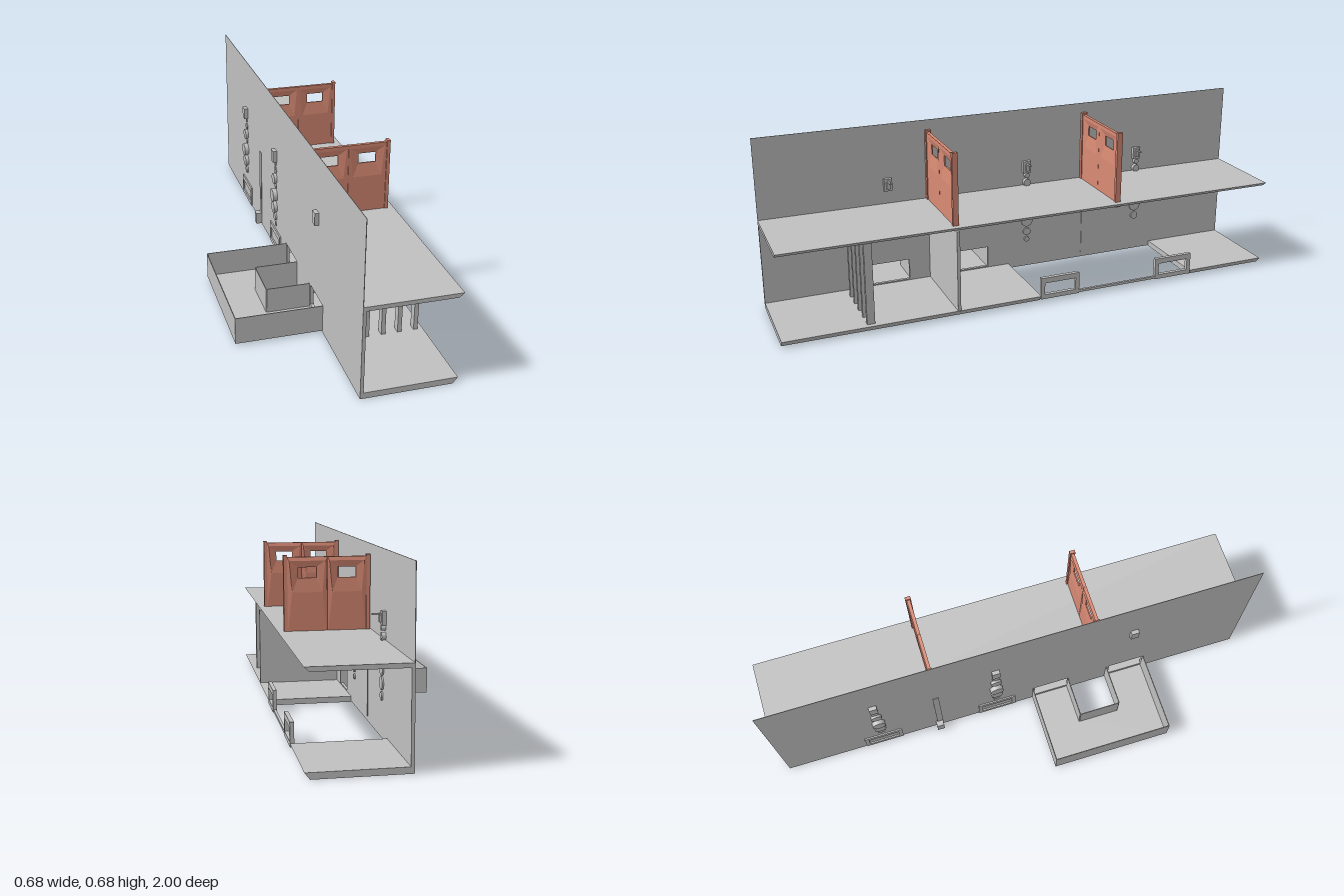
import * as THREE from 'three';

const grey = new THREE.MeshStandardMaterial({ color: 0xc0c0c0 });
grey.name = 'concreteGrey';
const red = new THREE.MeshStandardMaterial({ color: 0xd88a74 });
red.name = 'doorRed';

function add(parent, name, geometry, material = grey) {
  const mesh = new THREE.Mesh(geometry, material);
  mesh.name = name;
  parent.add(mesh);
  return mesh;
}

// Box given by its limits on each axis
function box(parent, name, [x0, x1], [y0, y1], [z0, z1], material) {
  const g = new THREE.BoxGeometry(x1 - x0, y1 - y0, z1 - z0);
  g.translate((x0 + x1) / 2, (y0 + y1) / 2, (z0 + z1) / 2);
  return add(parent, name, g, material);
}

const shapeOf = (pts) => new THREE.Shape(pts.map(([a, b]) => new THREE.Vector2(a, b)));
const rect = (a0, a1, b0, b1) => [[a0, b0], [a1, b0], [a1, b1], [a0, b1]];

// Plate lying in the z-y plane between x0 and x1, with rectangular holes
function sidePlate(parent, name, x0, x1, outline, holes) {
  const s = shapeOf(outline);
  holes.forEach((h) => s.holes.push(shapeOf(h)));
  const g = new THREE.ExtrudeGeometry(s, { depth: x1 - x0, bevelEnabled: false });
  g.rotateY(-Math.PI / 2).translate(x1, 0, 0);
  return add(parent, name, g);
}

// Floor slab with an undercut outer edge
function slab(parent, name, yTop, yBottom, z0, z1) {
  const s = shapeOf([[-0.012, yBottom], [0.322, yBottom], [0.34, yTop], [-0.012, yTop]]);
  const g = new THREE.ExtrudeGeometry(s, { depth: z1 - z0, bevelEnabled: false });
  add(parent, name, g.translate(0, 0, z0));
}

// Door leaf: closed loft of rectangular rings around a recessed window
function doorLeaf(x0, x1, y0) {
  const w = x1 - x0, c = (x0 + x1) / 2;
  const outer = rect(x0, x1, y0, 0.63);
  const bevel = [[c - w * 0.38, 0.5], [c + w * 0.38, 0.5], [c + w * 0.45, 0.616], [c - w * 0.45, 0.616]];
  const hole = rect(c - 0.034, c + 0.034, 0.553, 0.592);
  const rings = [[outer, 0.007], [bevel, 0.007], [hole, 0], [hole, -0.005], [bevel, -0.01], [outer, -0.006]];
  const pos = [];
  rings.forEach(([a, za], r) => {
    const [b, zb] = rings[(r + 1) % rings.length];
    for (let i = 0; i < 4; i++) {
      const j = (i + 1) % 4;
      const p = [...a[i], za], q = [...a[j], za], s = [...b[j], zb], t = [...b[i], zb];
      pos.push(...p, ...q, ...s, ...p, ...s, ...t);
    }
  });
  const g = new THREE.BufferGeometry();
  g.setAttribute('position', new THREE.Float32BufferAttribute(pos, 3));
  g.computeVertexNormals();
  return g;
}

function doubleDoor(z, y0) {
  const door = new THREE.Group();
  door.name = 'doubleDoor';
  add(door, 'leftLeaf', doorLeaf(0.008, 0.1535, y0), red);
  add(door, 'rightLeaf', doorLeaf(0.1545, 0.303, y0), red);
  box(door, 'wallJamb', [-0.006, 0.008], [y0, 0.637], [-0.011, 0.011], red);
  box(door, 'outerJamb', [0.303, 0.316], [y0, 0.637], [-0.011, 0.011], red);
  door.position.z = z;
  return door;
}

// Switch box through the wall with a lever on the inside
function switchBox(z) {
  const g = new THREE.Group();
  g.name = 'switchBox';
  box(g, 'housing', [-0.028, 0.005], [0.411, 0.46], [-0.016, 0.016]);
  box(g, 'leverMount', [0.005, 0.013], [0.421, 0.447], [-0.008, 0.008]);
  box(g, 'lever', [0.003, 0.039], [0.447, 0.453], [-0.003, 0.003]);
  g.position.z = z;
  return g;
}

export function createModel() {
  const model = new THREE.Group();
  model.name = 'corridorBuilding';

  // Long wall: lower part with two crawl openings, thin upper part
  sidePlate(model, 'lowerWall', -0.012, 0, rect(-1, 1, 0.003, 0.357),
    [rect(0.09, 0.24, 0.028, 0.112), rect(0.425, 0.576, 0.028, 0.112)]);
  box(model, 'upperWall', [-0.012, -0.01], [0.357, 0.675], [-1, 1]);

  // Floors: the lower one is open between z = -0.66 and 0
  slab(model, 'upperFloor', 0.357, 0.341, -1, 1);
  slab(model, 'lowerFloorFront', 0.023, 0, 0, 1);
  slab(model, 'lowerFloorBack', 0.023, 0, -1, -0.66);
  box(model, 'gapRail', [0.328, 0.338], [0.012, 0.022], [-0.66, 0]);

  // Partition and barred cell front
  box(model, 'partition', [0, 0.338], [0.02, 0.342], [0.328, 0.34]);
  for (let i = 0; i < 5; i++) {
    const x = 0.061 + i * 0.0628;
    box(model, 'cellBar', [x - 0.008, x + 0.008], [0.02, 0.342], [0.655, 0.685]);
  }
  box(model, 'cellTopRail', [0, 0.322], [0.331, 0.342], [0.655, 0.685]);

  // Doors on the upper floor
  model.add(doubleDoor(0.335, 0.345), doubleDoor(-0.331, 0.336));

  // Rectangular frames on both sides of the gap ends
  for (const z of [-0.08, -0.58]) {
    for (const [x0, x1] of [[0.325, 0.34], [-0.018, -0.012]]) {
      sidePlate(model, 'openingFrame', x0, x1, rect(z - 0.081, z + 0.081, 0.01, 0.098),
        [rect(z - 0.065, z + 0.065, 0.028, 0.076)]);
    }
  }

  // Chains of discs set through the wall: height, radius, depth
  const discs = [[0.4, 0.01, 0.016], [0.37, 0.015, 0.016], [0.333, 0.022, 0.024], [0.298, 0.013, 0.014],
    [0.258, 0.027, 0.03], [0.203, 0.024, 0.026], [0.157, 0.016, 0.019], [0.123, 0.011, 0.014]];
  for (const [z, count] of [[-0.08, 8], [-0.58, 7]]) {
    discs.slice(0, count).forEach(([y, r, d]) => {
      const g = new THREE.CylinderGeometry(r, r, d + 0.006, 20);
      g.rotateZ(Math.PI / 2).translate((0.006 - d) / 2, y, z);
      add(model, 'chainDisc', g);
    });
  }
  for (const z of [0.5, -0.08, -0.58]) model.add(switchBox(z));

  // Outside service strip and box
  box(model, 'serviceStrip', [-0.015, -0.012], [0.01, 0.345], [-0.345, -0.32]);
  box(model, 'serviceBox', [-0.037, -0.012], [0.006, 0.055], [-0.352, -0.322]);
  box(model, 'inspectionRod', [0, 0.003], [0.023, 0.341], [-0.333, -0.33]);

  // Open-topped U-shaped duct outside the wall
  const u = shapeOf([[-0.012, 0.08], [-0.341, 0.08], [-0.341, 0.58], [-0.012, 0.58],
    [-0.012, 0.41], [-0.18, 0.41], [-0.18, 0.24], [-0.012, 0.24]]);
  const ductFloor = new THREE.ExtrudeGeometry(u, { depth: 0.006, bevelEnabled: false });
  add(model, 'ductFloor', ductFloor.rotateX(Math.PI / 2).translate(0, 0.013, 0));
  const t = 0.003, h = [0.007, 0.113];
  for (const [x, z0, z1, side] of [[-0.341, 0.08, 0.58, 1], [-0.18, 0.24, 0.41, -1]]) {
    const ends = [x, x + side * t].sort((a, b) => a - b);
    box(model, 'ductEndWall', ends, h, [z0, z1]);
    for (const [z, s] of [[z0, side], [z1, -side]]) {
      box(model, 'ductSideWall', [x, -0.012], h, [z, z + s * t].sort((a, b) => a - b));
    }
  }
  return model;
}
